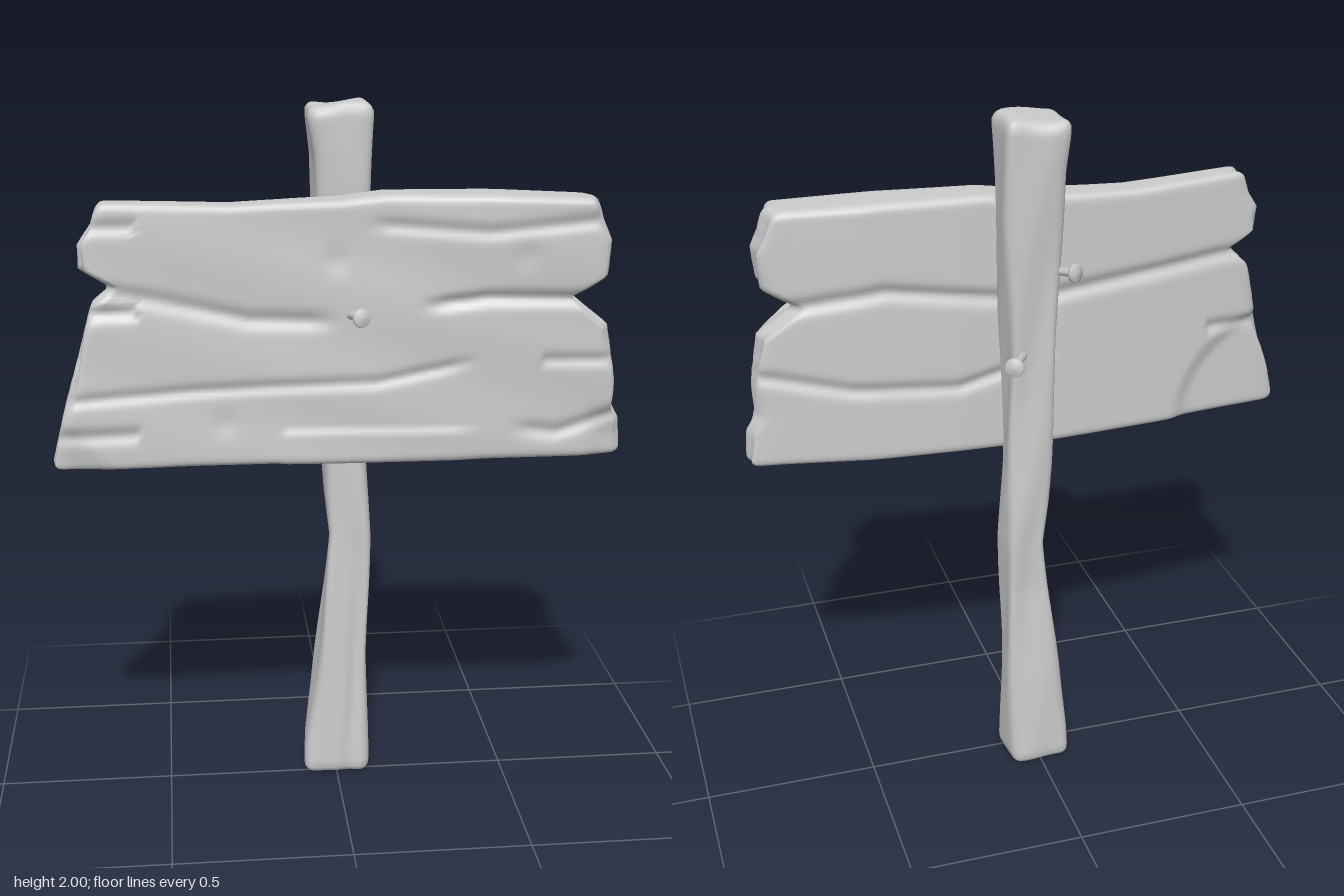
import * as THREE from 'three';
import { mergeVertices } from 'three/addons/utils/BufferGeometryUtils.js';

const material = new THREE.MeshStandardMaterial({ color: 0xcccccc, side: THREE.DoubleSide });
const { clamp, lerp, smoothstep } = THREE.MathUtils;

// Linear lookup in a list of [key, value] pairs
function table(keys, t) {
  if (t <= keys[0][0]) return keys[0][1];
  for (let i = 1; i < keys.length; i++) {
    const [a, va] = keys[i - 1], [b, vb] = keys[i];
    if (t <= b) return lerp(va, vb, (t - a) / (b - a));
  }
  return keys[keys.length - 1][1];
}

const bump = (d, width) => Math.exp(-(d * d) / (width * width));

// Dense box with rounded edges; rule(point, size) then carves each vertex
function carvedBox(name, size, segments, radius, rule) {
  let geo = new THREE.BoxGeometry(...size, ...segments);
  geo.deleteAttribute('uv');
  geo.deleteAttribute('normal');
  geo = mergeVertices(geo);
  const half = new THREE.Vector3(...size).multiplyScalar(0.5);
  const inner = half.clone().subScalar(radius);
  const pos = geo.attributes.position;
  const p = new THREE.Vector3(), core = new THREE.Vector3();
  for (let i = 0; i < pos.count; i++) {
    p.fromBufferAttribute(pos, i);
    core.copy(p).clamp(inner.clone().negate(), inner);
    p.sub(core).setLength(radius).add(core);
    p.divide(half); // -1..1 on every axis
    rule(p);
    pos.setXYZ(i, p.x, p.y, p.z);
  }
  geo.computeVertexNormals();
  const mesh = new THREE.Mesh(geo, material);
  mesh.name = name;
  return mesh;
}

// Board outline: left and right ends by height, top and bottom by width
const leftEnd = [[1.02, -0.79], [1.2, -0.745], [1.35, -0.7], [1.48, -0.665], [1.53, -0.615],
  [1.575, -0.695], [1.64, -0.695], [1.69, -0.66], [1.75, -0.64]];
const rightEnd = [[1.02, 0.785], [1.12, 0.78], [1.17, 0.755], [1.25, 0.75], [1.4, 0.73],
  [1.48, 0.63], [1.54, 0.715], [1.64, 0.725], [1.68, 0.71], [1.75, 0.69]];
const topEdge = [[-0.7, 1.755], [-0.3, 1.738], [0, 1.75], [0.12, 1.765], [0.4, 1.765], [0.7, 1.755]];
const bottomEdge = [[-0.8, 1.025], [0, 1.015], [0.3, 1.018], [0.8, 1.028]];

// Bend of the board, front and back, along x
const frontBend = [[-0.78, 0.155], [-0.4, 0.13], [-0.2, 0.125], [0, 0.13], [0.2, 0.145], [0.45, 0.165], [0.78, 0.185]];
const backBend = [[-0.78, 0.065], [-0.4, 0.028], [-0.1, 0.01], [0.2, 0.012], [0.45, 0.022], [0.78, 0.075]];

// Grain grooves: path of [x, y], depth, width
const frontGrooves = [
  [[[-0.7, 1.53], [-0.5, 1.49], [-0.25, 1.43], [0, 1.42]], 0.013, 0.022],
  [[[0.2, 1.46], [0.4, 1.485], [0.7, 1.48]], 0.016, 0.018],
  [[[-0.75, 1.22], [-0.4, 1.235], [0.1, 1.25], [0.38, 1.31]], 0.01, 0.016],
  [[[0.05, 1.69], [0.4, 1.665], [0.73, 1.7]], 0.01, 0.018],
  [[[0.45, 1.12], [0.6, 1.1], [0.78, 1.16]], 0.012, 0.02],
];
const backGrooves = [
  [[[-0.7, 1.53], [-0.4, 1.5], [0, 1.46], [0.4, 1.52], [0.72, 1.48]], 0.014, 0.02],
  [[[-0.1, 1.3], [0.2, 1.22], [0.5, 1.24], [0.76, 1.3]], 0.012, 0.018],
];

function carve(grooves, x, y) {
  let depth = 0;
  for (const [path, d, w] of grooves) {
    const fade = smoothstep(x, path[0][0], path[0][0] + 0.1) *
      (1 - smoothstep(x, path[path.length - 1][0] - 0.1, path[path.length - 1][0] + 0.02));
    const atEnd = Math.abs(x) > 0.55 && Math.abs(path[0][0]) + Math.abs(path[path.length - 1][0]) > 0.7;
    depth += d * bump(y - table(path, x), w) * (atEnd ? 1 : fade);
  }
  return depth;
}

function boardRule(p) {
  const v = (p.y + 1) / 2, u = (p.x + 1) / 2, w = (p.z + 1) / 2;
  const h = lerp(1.02, 1.755, v);
  let x = lerp(table(leftEnd, h), table(rightEnd, h), u);
  const y = lerp(table(bottomEdge, x), table(topEdge, x), v);
  // Ends twist a little between bottom and top
  const twist = (v - 0.5) * (x > 0 ? 0.04 : -0.025) * smoothstep(Math.abs(x), 0.1, 0.75);
  let front = table(frontBend, x) + twist - carve(frontGrooves, x, y);
  let back = table(backBend, x) + carve(backGrooves, x, y);
  front += 0.004 * Math.sin(x * 7 + y * 9) * Math.sin(y * 14);
  // Raised splinter on the lower front edge
  front += 0.009 * smoothstep(x, -0.17, -0.15) * (1 - smoothstep(x, 0.3, 0.42)) *
    (1 - smoothstep(y, 1.1, 1.125));
  // Chipped lower corners
  front -= 0.022 * smoothstep(-x - (y - 1.02) * 0.9, 0.6, 0.75);
  front -= 0.022 * smoothstep(x, 0.66, 0.77) * (1 - smoothstep(y, 1.08, 1.2));
  back += 0.016 * (1 - smoothstep(Math.hypot(x + 0.76, y - 1.02), 0.26, 0.32));
  // Knots in the wood
  for (const [kx, ky] of [[-0.32, 1.14], [0.5, 1.6], [-0.01, 1.59]])
    front -= 0.006 * bump(Math.hypot(x - kx, y - ky), 0.035);
  // Wavy end grain
  x += 0.008 * Math.sin(w * 9 + y * 20) * smoothstep(Math.abs(p.x), 0.9, 1);
  p.set(x, y, lerp(back, front, w));
}

// Post side lines by height
const postLeft = [[0, -0.095], [0.1, -0.088], [0.25, -0.067], [0.5, -0.04], [0.75, -0.014], [0.88, -0.027],
  [1.0, -0.034], [1.3, -0.045], [1.6, -0.055], [1.85, -0.065], [1.95, -0.08], [2, -0.082]];
const postRight = [[0, 0.095], [0.4, 0.093], [0.75, 0.098], [1, 0.088], [1.3, 0.085], [1.7, 0.098], [2, 0.102]];
const postFront = [[0, 0.037], [0.3, 0.025], [0.7, 0.012], [1.1, 0.01], [1.5, 0.02], [1.8, 0.034], [2, 0.04]];
const postBack = [[0, -0.125], [0.3, -0.116], [0.6, -0.103], [0.85, -0.11], [1.2, -0.105], [1.6, -0.118], [1.85, -0.128], [2, -0.134]];

function postRule(p) {
  let y = p.y + 1;
  const u = (p.x + 1) / 2, w = (p.z + 1) / 2;
  let x = lerp(table(postLeft, y), table(postRight, y), u);
  let z = lerp(table(postBack, y), table(postFront, y), w);
  // Long hewn facets and a split down the front
  x += 0.004 * Math.sin(y * 9 + p.z * 2) * p.x;
  z += 0.004 * Math.sin(y * 8 + p.x * 3) * p.z;
  z -= 0.01 * bump(p.x - 0.35 - 0.15 * Math.sin(y * 4), 0.22) * clamp(p.z, 0, 1) * (1 - smoothstep(y, 0.5, 1));
  // Uneven top
  y -= 0.014 * smoothstep(y, 1.9, 2) * (0.5 + 0.5 * Math.sin(p.x * 2.5 + 3 + p.z));
  p.set(x, y, z);
}

// Nail from a point in the wood to the centre of its head
function nail(name, from, to) {
  const a = new THREE.Vector3(...from), b = new THREE.Vector3(...to);
  const length = a.distanceTo(b);
  const profile = [[0, 0], [0.012, 0], [0.012, length - 0.014], [0.024, length - 0.009],
    [0.027, length], [0.024, length + 0.008], [0, length + 0.011]];
  const mesh = new THREE.Mesh(
    new THREE.LatheGeometry(profile.map(([r, y]) => new THREE.Vector2(r, y)), 16), material);
  mesh.position.copy(a);
  mesh.quaternion.setFromUnitVectors(new THREE.Vector3(0, 1, 0), b.sub(a).normalize());
  mesh.name = name;
  return mesh;
}

export function createModel() {
  const group = new THREE.Group();
  group.name = 'woodenSign';
  group.add(
    carvedBox('post', [0.18, 2, 0.15], [14, 100, 14], 0.03, postRule),
    carvedBox('board', [1.5, 0.74, 0.13], [120, 70, 10], 0.022, boardRule),
    nail('frontNail', [0.01, 1.435, 0.08], [0.05, 1.445, 0.192]),
    nail('lowerBackNail', [0.04, 1.345, -0.08], [0.1, 1.35, -0.185]),
    nail('upperBackNail', [-0.045, 1.575, -0.09], [-0.083, 1.58, -0.138]),
  );
  return group;
}
